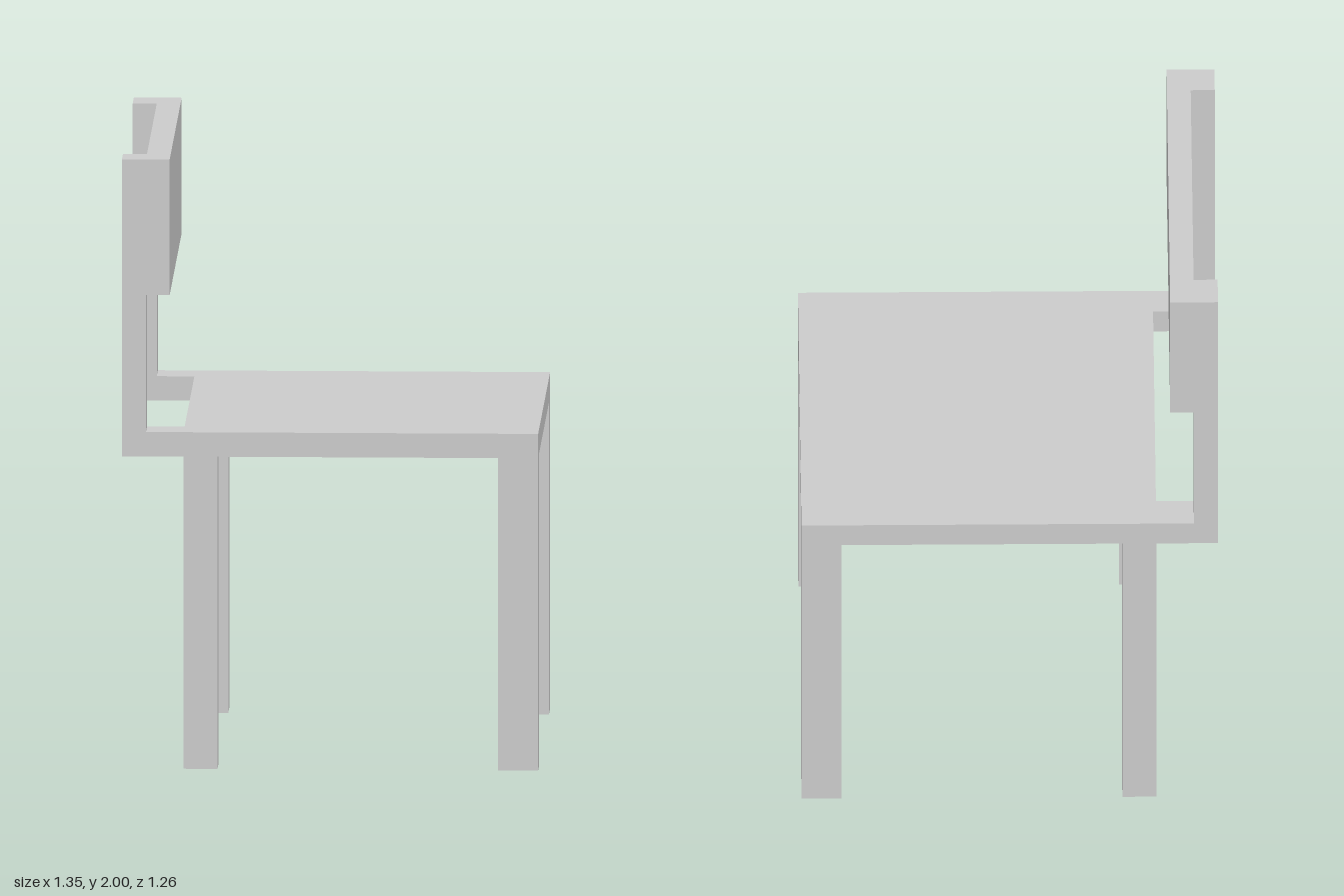
import * as THREE from 'three';

const material = new THREE.MeshStandardMaterial({ color: 0xcccccc, flatShading: true });

// Box given by its lower and upper limits on each axis
function block(name, [x0, x1], [y0, y1], [z0, z1]) {
  const geometry = new THREE.BoxGeometry(x1 - x0, y1 - y0, z1 - z0);
  geometry.translate((x0 + x1) / 2, (y0 + y1) / 2, (z0 + z1) / 2);
  const mesh = new THREE.Mesh(geometry, material);
  mesh.name = name;
  return mesh;
}

export function createModel() {
  const chair = new THREE.Group();
  chair.name = 'chair';

  const seatBottom = 1.025, seatTop = 1.105, top = 2;
  const sides = { left: [0.518, 0.63], right: [-0.63, -0.508] };

  // Seat slab with two arms reaching back to the uprights, as one notched outline
  const outline = new THREE.Shape([
    [0.675, -0.63], [0.675, 0.63], [-0.675, 0.63], [-0.675, sides.left[0]],
    [-0.475, sides.left[0]], [-0.475, sides.right[1]], [-0.675, sides.right[1]], [-0.675, -0.63],
  ].map(([x, z]) => new THREE.Vector2(x, -z)));
  const seatGeometry = new THREE.ExtrudeGeometry(outline, { depth: seatTop - seatBottom, bevelEnabled: false });
  seatGeometry.rotateX(-Math.PI / 2).translate(0, seatBottom, 0);
  const seat = new THREE.Mesh(seatGeometry, material);
  seat.name = 'seat';
  chair.add(seat);

  // Legs and backrest uprights along both sides
  for (const [side, z] of Object.entries(sides)) {
    chair.add(
      block(`${side}FrontLeg`, [0.545, 0.675], [0, seatBottom], z),
      block(`${side}RearLeg`, [-0.475, -0.365], [0, seatBottom], z),
      block(`${side}Upright`, [-0.675, -0.597], [seatTop, top], z),
    );
  }

  // Back panel mounted in front of the uprights
  chair.add(block('backPanel', [-0.597, -0.52], [1.555, top], [-0.63, 0.63]));

  return chair;
}
